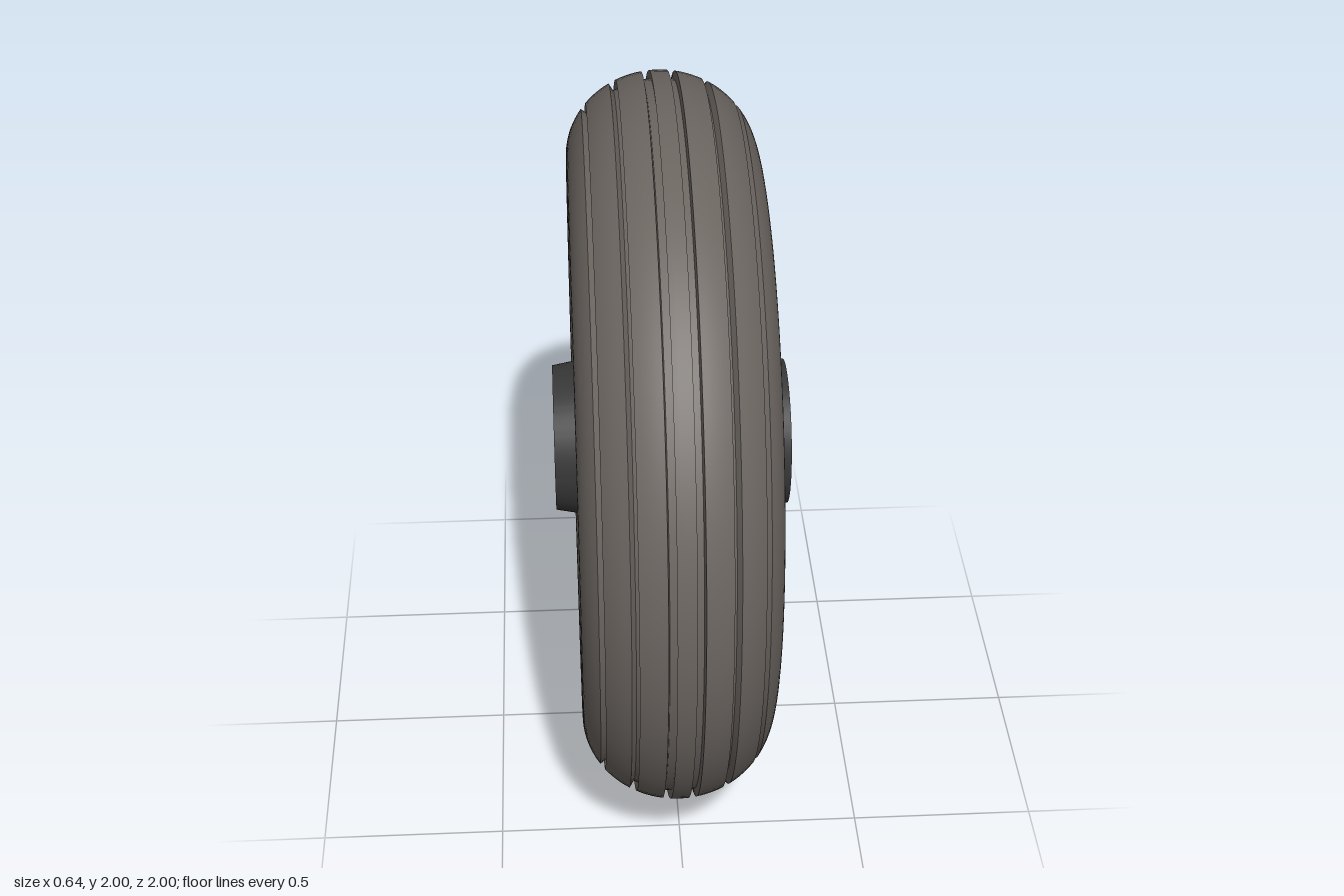
import * as THREE from 'three';
import { toCreasedNormals } from 'three/addons/utils/BufferGeometryUtils.js';

const SEGMENTS = 128;
const TYRE_OFFSET = -0.01;

// Turns a closed profile of [radius, x] points around the x axis.
function turned(name, profile, color) {
  const points = profile.map(([r, x]) => new THREE.Vector2(r, x));
  points.push(points[0].clone());
  const geometry = new THREE.LatheGeometry(points, SEGMENTS);
  geometry.rotateZ(-Math.PI / 2);
  const material = new THREE.MeshStandardMaterial({ color });
  const mesh = new THREE.Mesh(toCreasedNormals(geometry, 0.4), material);
  mesh.name = name;
  return mesh;
}

// Adds the mirrored left half to a right half that runs outside to inside.
function mirrored(half) {
  return [...half, ...half.filter(([, x]) => x > 0).reverse().map(([r, x]) => [r, -x])];
}

// Half of the tyre: grooved crown, rounded shoulder, sidewall down to the bead.
function tyreProfile() {
  const crown = (t, depth = 0) => [0.77 + (0.23 - depth) * Math.cos(t), (0.255 - depth) * Math.sin(t)];
  const half = [[1, 0]];
  let start = 0;
  const addRib = (end, steps) => {
    for (let i = 1; i <= steps; i++) half.push(crown(start + (end - start) * i / steps));
  };
  for (const centre of [0.138, 0.512, 0.934]) {
    const a = centre - 0.042, b = centre + 0.042;
    addRib(a, 5);
    half.push(crown(a, 0.022), crown(b, 0.022), crown(b));
    start = b;
  }
  addRib(Math.PI / 2, 10);
  for (let i = 1; i <= 10; i++) {
    const s = 0.66 * i / 10;
    half.push([0.77 - 0.3 * Math.sin(s), 0.255 * Math.cos(s)]);
  }
  half.push([0.575, 0.19]);
  return mirrored(half);
}

// Half of the rim: barrel, rounded flange, dished disc, tapered hub, stepped bore.
function rimProfile() {
  const half = [[0.58, 0], [0.58, 0.2], [0.605, 0.2]];
  for (let i = 0; i <= 5; i++) {
    const a = Math.PI / 2 * i / 5;
    half.push([0.585 + 0.02 * Math.cos(a), 0.23 + 0.02 * Math.sin(a)]);
  }
  half.push([0.49, 0.25], [0.4, 0.155], [0.23, 0.155], [0.2, 0.32],
    [0.125, 0.32], [0.125, 0.26], [0.09, 0.26]);
  return mirrored(half);
}

export function createModel() {
  const wheel = new THREE.Group();
  wheel.name = 'wheel';

  const tyre = turned('tyre', tyreProfile(), 0x6b6560);
  tyre.position.set(TYRE_OFFSET, 1, 0);

  const rim = turned('rimAndHub', rimProfile(), 0x383838);
  rim.position.y = 1;

  wheel.add(tyre, rim);
  return wheel;
}
